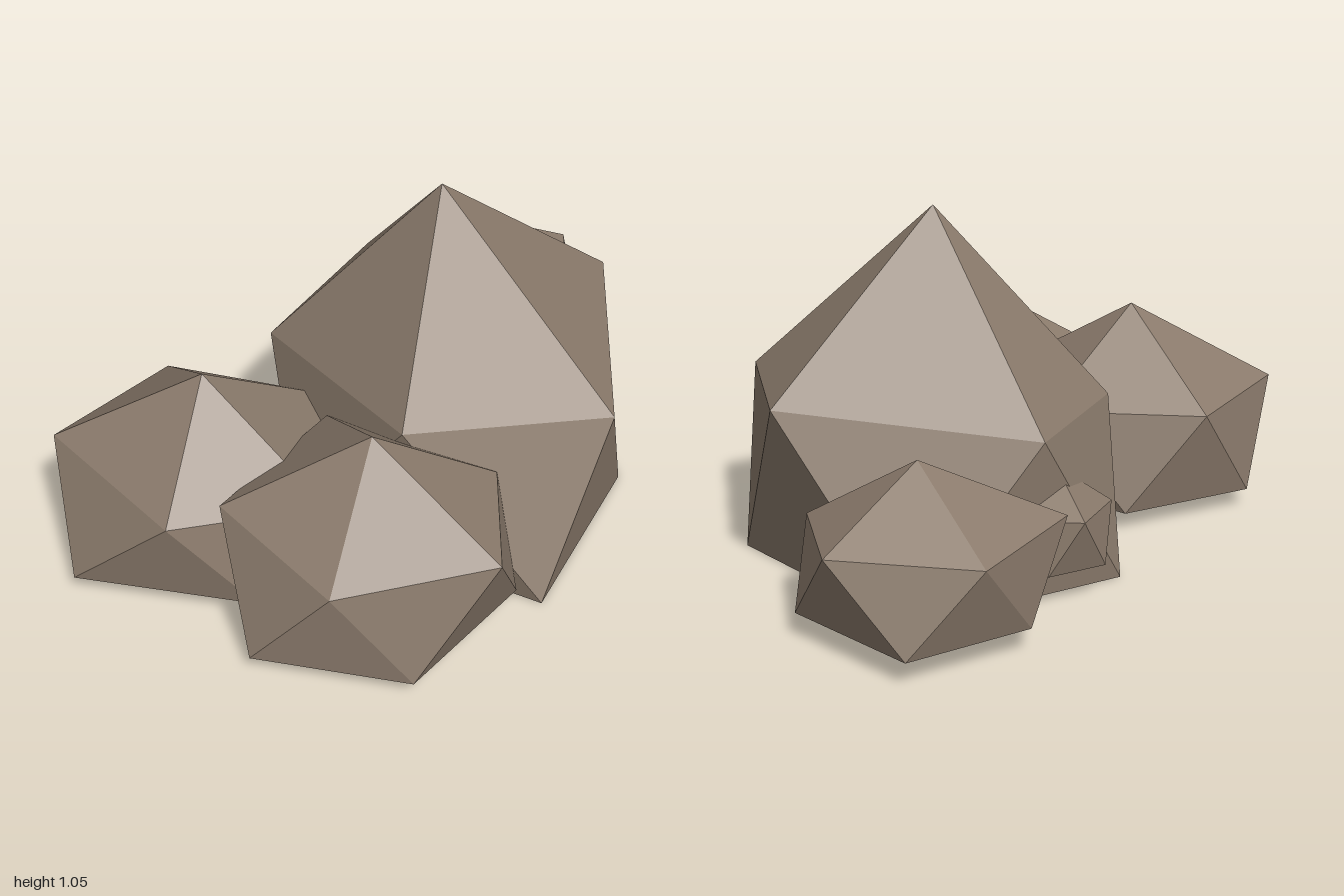
import * as THREE from 'three';

const stone = new THREE.MeshStandardMaterial({ color: 0x8b7b6c, flatShading: true });
stone.name = 'brown stone';

// A flat-bottomed boulder: a peak, a ring of five shoulders and a ring of five base corners.
// Both rings run from +x towards +z; the base corners sit between the shoulders.
function boulder(name, peak, shoulders, baseY, baseCorners) {
  const base = baseCorners.map(([x, z]) => [x, baseY, z]);
  const tris = [];
  for (let i = 0; i < 5; i++) {
    const j = (i + 1) % 5;
    tris.push(peak, shoulders[j], shoulders[i]);
    tris.push(shoulders[i], shoulders[j], base[i]);
    tris.push(shoulders[j], base[j], base[i]);
    if (i > 0 && i < 4) tris.push(base[0], base[i], base[j]);
  }
  const geometry = new THREE.BufferGeometry();
  geometry.setAttribute('position', new THREE.Float32BufferAttribute(tris.flat(), 3));
  geometry.computeVertexNormals();
  const mesh = new THREE.Mesh(geometry, stone);
  mesh.name = name;
  return mesh;
}

export function createModel() {
  const group = new THREE.Group();
  group.name = 'rockCluster';

  // tall rock in the middle
  group.add(boulder('mainRock', [0.055, 1.05, -0.1],
    [[0.67, 0.485, -0.1], [0.27, 0.555, 0.39], [-0.4, 0.465, 0.15], [-0.425, 0.49, -0.375], [0.29, 0.56, -0.645]],
    0, [[0.66, 0.235], [-0.14, 0.36], [-0.55, -0.1], [-0.15, -0.67], [0.55, -0.375]]));

  // two medium rocks at the front
  group.add(boulder('frontRightRock', [-0.305, 0.62, 0.57],
    [[0.14, 0.345, 0.57], [-0.17, 0.34, 0.91], [-0.69, 0.365, 0.81], [-0.64, 0.36, 0.36], [-0.18, 0.36, 0.19]],
    0.06, [[0.03, 0.77], [-0.47, 1], [-0.71, 0.57], [-0.44, 0.215], [0.04, 0.32]]));
  group.add(boulder('frontLeftRock', [0.275, 0.65, 0.535],
    [[0.71, 0.405, 0.535], [0.37, 0.34, 0.86], [-0.07, 0.4, 0.79], [-0.07, 0.4, 0.3], [0.48, 0.405, 0.22]],
    0.055, [[0.575, 0.755], [0.145, 0.945], [-0.085, 0.535], [0.15, 0.14], [0.6, 0.28]]));

  // smaller rock at the back
  group.add(boulder('backRock', [-0.19, 0.51, -0.69],
    [[0.155, 0.295, -0.69], [-0.1, 0.28, -0.4], [-0.54, 0.335, -0.48], [-0.48, 0.315, -0.87], [-0.07, 0.32, -1]],
    0.075, [[0.13, -0.57], [-0.28, -0.38], [-0.52, -0.67], [-0.31, -1], [0.1, -0.86]]));

  // small stone set into the side
  group.add(boulder('sideStone', [-0.41, 0.38, -0.26],
    [[-0.25, 0.26, -0.26], [-0.36, 0.26, -0.1], [-0.525, 0.245, -0.12], [-0.55, 0.275, -0.38], [-0.36, 0.26, -0.42]],
    0.11, [[-0.28, -0.16], [-0.45, -0.1], [-0.57, -0.27], [-0.46, -0.42], [-0.28, -0.36]]));

  return group;
}
